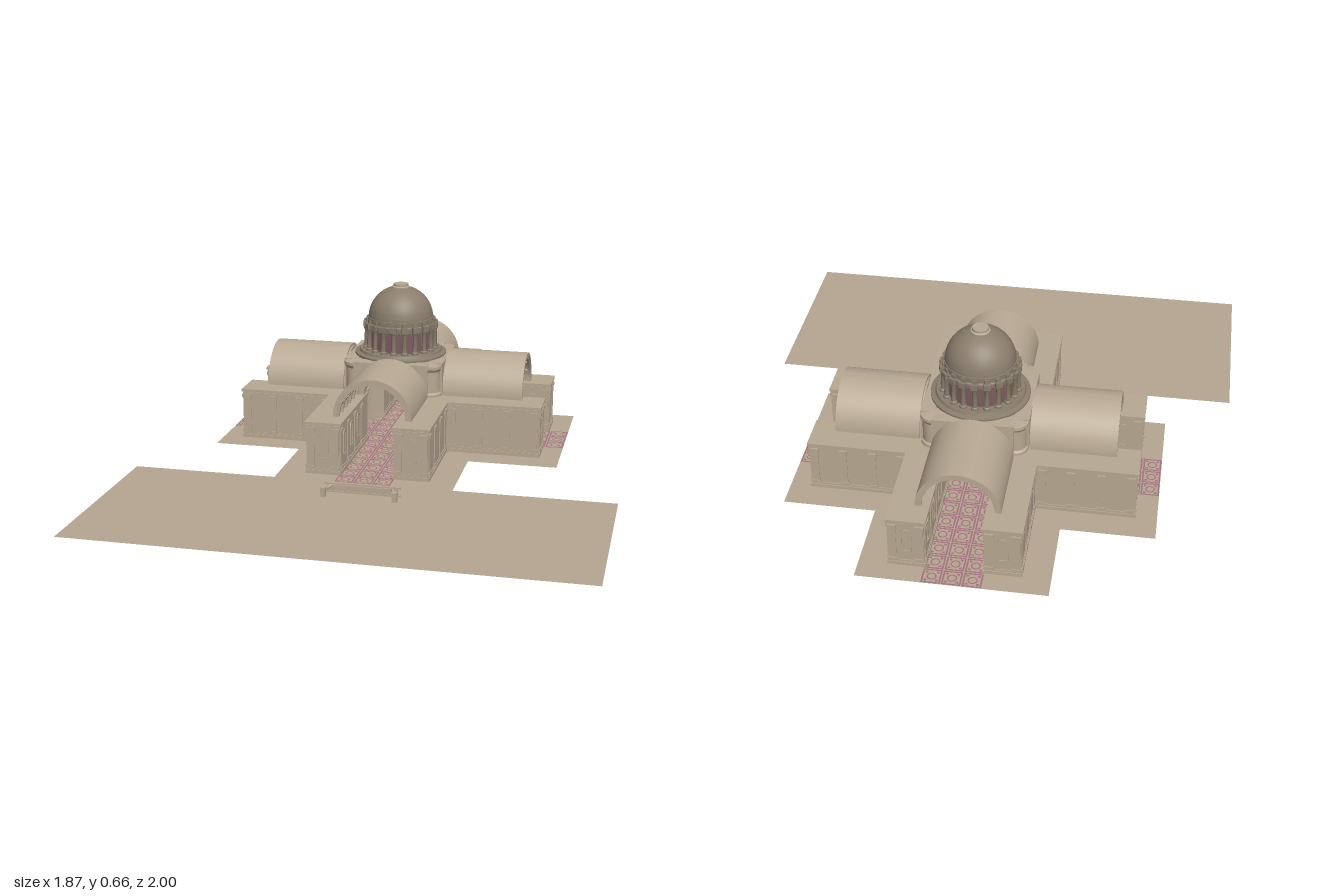
import * as THREE from 'three';
import { mergeGeometries, toCreasedNormals } from 'three/addons/utils/BufferGeometryUtils.js';

const mat = (name, color, side = THREE.FrontSide) => {
  const m = new THREE.MeshStandardMaterial({ color, side });
  m.name = name;
  return m;
};

export function createModel() {
  const stone = mat('pale stone', 0xb8a993);
  const paving = mat('paving stone', 0xb5a691, THREE.DoubleSide);
  const dark = mat('dark stone', 0x8a7e6d, THREE.DoubleSide);
  const pink = mat('pink marble', 0xa4707f);
  const glass = mat('dark rose panels', 0x7c5c5e, THREE.DoubleSide);
  const FLOOR = 0.04, CZ = -0.32;
  const model = new THREE.Group();
  model.name = 'domedCrossPavilion';

  const add = (parent, name, geo, material, x = 0, y = 0, z = 0) => {
    const m = new THREE.Mesh(geo, material);
    m.name = name;
    m.position.set(x, y, z);
    parent.add(m);
    return m;
  };
  const box = (parent, name, w, h, d, x, y, z, material = stone) =>
    add(parent, name, new THREE.BoxGeometry(w, h, d), material, x, y, z);
  const poly = (pts) => new THREE.Shape(pts.map(([x, y]) => new THREE.Vector2(x, y)));
  const extrude = (shape, depth) => toCreasedNormals(
    new THREE.ExtrudeGeometry(shape, { depth, bevelEnabled: false, curveSegments: 24 }), 0.5);
  const lathe = (pts, seg = 48) => toCreasedNormals(
    new THREE.LatheGeometry(pts.map(([r, y]) => new THREE.Vector2(r, y)), seg), 0.5);

  // Half ring for vaults and arches
  const halfRing = (outer, inner) => {
    const s = new THREE.Shape();
    s.absarc(0, 0, outer, 0, Math.PI, false);
    s.absarc(0, 0, inner, Math.PI, 0, true);
    s.closePath();
    return s;
  };
  // Round-headed opening, used for niches and windows
  const archShape = (r, h, S = THREE.Shape) => {
    const s = new S();
    s.moveTo(-r, 0);
    s.lineTo(r, 0);
    s.lineTo(r, h - r);
    s.absarc(0, h - r, r, 0, Math.PI, false);
    s.closePath();
    return s;
  };

  // Ground and raised cross-shaped floor
  const ground = add(model, 'forecourt', new THREE.PlaneGeometry(1.87, 0.75), paving, 0, 0, 0.625);
  ground.rotation.x = -Math.PI / 2;
  const A = 0.34, B = 0.683;
  const cross = poly([[A, A], [A, B], [-A, B], [-A, A], [-B, A], [-B, -A],
    [-A, -A], [-A, -B], [A, -B], [A, -A], [B, -A], [B, A]]);
  const floor = add(model, 'crossFloor', new THREE.ShapeGeometry(cross), paving, 0, FLOOR, CZ);
  floor.rotation.x = -Math.PI / 2;

  // Entrance step face with end posts and curved rails
  box(model, 'stepFace', 0.27, 0.028, 0.008, 0, 0.014, 0.356);
  box(model, 'stepEdge', 0.29, 0.006, 0.012, 0, 0.034, 0.357);
  box(model, 'stepFoot', 0.29, 0.006, 0.012, 0, 0.003, 0.357);
  for (const s of [-1, 1]) {
    box(model, 'stepPost', 0.018, 0.032, 0.018, s * 0.135, 0.016, 0.415);
    box(model, 'stepPostCap', 0.022, 0.006, 0.022, s * 0.135, 0.035, 0.415);
    const rail = new THREE.CatmullRomCurve3([[0.135, 0.028, 0.41], [0.13, 0.022, 0.385], [0.115, 0.028, 0.36]]
      .map(([x, y, z]) => new THREE.Vector3(s * x, y, z)));
    add(model, 'stepRail', new THREE.TubeGeometry(rail, 10, 0.005, 8), stone);
  }

  const building = new THREE.Group();
  building.name = 'building';
  building.position.z = CZ;
  model.add(building);

  // Patterned floor tile: square frame, ring and corner blocks
  const frame = poly([[-0.034, -0.034], [0.034, -0.034], [0.034, 0.034], [-0.034, 0.034]]);
  frame.holes.push(poly([[-0.028, -0.028], [-0.028, 0.028], [0.028, 0.028], [0.028, -0.028]]));
  const tileParts = [new THREE.ShapeGeometry(frame), new THREE.RingGeometry(0.013, 0.018, 12)];
  for (const i of [-1, 1]) for (const j of [-1, 1])
    tileParts.push(new THREE.PlaneGeometry(0.009, 0.009).translate(i * 0.02, j * 0.02, 0));
  const tile = mergeGeometries(tileParts.map((g) => g.toNonIndexed())).rotateX(-Math.PI / 2);
  const tiles = (rows, z0) => {
    const list = [];
    for (let i = -1; i <= 1; i++) for (let j = 0; j < rows; j++)
      list.push(tile.clone().translate(i * 0.072, 0, z0 + j * 0.072));
    return mergeGeometries(list);
  };
  add(building, 'crossingTiles', tiles(3, -0.072), pink, 0, FLOOR + 0.002, 0);

  // L-shaped corner wall grown outward by e
  const cornerWall = (e, y, h) => {
    const a = 0.105 - e, b = 0.233 + e, c = 0.6 + e, k = 0.15;
    const g = extrude(poly([[a, k], [k, a], [c, a], [c, b], [b, b], [b, c], [a, c]]), h);
    return g.rotateX(Math.PI / 2).translate(0, y + h, 0);
  };
  const layers = [[0, 0.04, 0.2], [0.006, 0.04, 0.014], [0.003, 0.054, 0.008],
    [0.003, 0.222, 0.008], [0.007, 0.233, 0.01]].map((p) => cornerWall(...p));

  // Niche surround
  const nicheShape = archShape(0.02, 0.095);
  nicheShape.holes.push(archShape(0.014, 0.089, THREE.Path));
  const nicheGeo = extrude(nicheShape, 0.004);

  const pilaster = (g, w, d, x, z) => {
    box(g, 'pilaster', w, 0.15, d, x, 0.135, z);
    box(g, 'pilasterCapital', w + 0.006, 0.014, d + 0.006, x, 0.213, z);
    box(g, 'pilasterBase', w + 0.006, 0.012, d + 0.006, x, 0.066, z);
  };

  // Crossing wall pierced by a round arch
  const crossingShape = poly([[-0.15, 0], [-0.105, 0], [0.105, 0], [0.15, 0], [0.15, 0.13], [-0.15, 0.13]]);
  crossingShape.holes.length = 0;
  const spandrel = new THREE.Shape();
  spandrel.moveTo(0.15, 0);
  spandrel.lineTo(0.15, 0.13);
  spandrel.lineTo(-0.15, 0.13);
  spandrel.lineTo(-0.15, 0);
  spandrel.lineTo(-0.105, 0);
  spandrel.absarc(0, 0, 0.105, Math.PI, 0, true);
  spandrel.closePath();
  const crossingArch = extrude(spandrel, 0.055);
  const vault = extrude(halfRing(0.152, 0.137), 0.315);
  const vaultRib = extrude(halfRing(0.139, 0.128), 0.01);
  const archBand = extrude(halfRing(0.142, 0.104), 0.012);
  const armTiles = tiles(8, 0.144);

  for (let q = 0; q < 4; q++) {
    const arm = new THREE.Group();
    arm.name = 'arm';
    arm.rotation.y = q * Math.PI / 2;
    building.add(arm);
    layers.forEach((g, i) => add(arm, ['cornerWall', 'wallPlinth', 'plinthMoulding', 'frieze', 'wallCornice'][i], g, stone));
    add(arm, 'floorTiles', armTiles, pink, 0, FLOOR + 0.002, 0);

    // Barrel vault with coffering ribs
    add(arm, 'barrelVault', vault, stone, 0, 0.243, 0.205);
    for (let i = 0; i < 6; i++) add(arm, 'vaultRib', vaultRib, stone, 0, 0.243, 0.207 + i * 0.06);
    for (let i = 1; i < 9; i++) {
      const a = i * Math.PI / 9;
      box(arm, 'cofferRib', 0.01, 0.009, 0.31, 0.134 * Math.cos(a), 0.243 + 0.134 * Math.sin(a), 0.362)
        .rotation.z = a - Math.PI / 2;
    }
    add(arm, 'crossingArch', crossingArch, stone, 0, 0.243, 0.145);
    add(arm, 'archBand', archBand, stone, 0, 0.243, 0.198);

    for (const s of [-1, 1]) {
      // Wall end with pilasters and niche
      pilaster(arm, 0.026, 0.006, s * 0.121, 0.601);
      pilaster(arm, 0.026, 0.006, s * 0.217, 0.601);
      add(arm, 'endNiche', nicheGeo, stone, s * 0.169, 0.105, 0.599);
      // Pilasters along outer and inner faces, niches inside
      for (const z of [0.26, 0.365, 0.475, 0.582]) {
        pilaster(arm, 0.006, 0.024, s * 0.234, z);
        pilaster(arm, 0.006, 0.024, s * 0.104, z);
      }
      for (const z of [0.312, 0.42, 0.528])
        add(arm, 'innerNiche', nicheGeo, stone, s * 0.106, 0.105, z).rotation.y = -s * Math.PI / 2;
    }

    // Rounded corner buttress below the drum
    add(arm, 'cornerButtress', lathe([[0, 0], [0.05, 0], [0.05, 0.01], [0.043, 0.016], [0.043, 0.1],
      [0.05, 0.112], [0.05, 0.124], [0, 0.132]], 24), stone, 0.148, 0.243, 0.148);
  }

  // Drum base mouldings
  add(building, 'drumBase', lathe([[0.128, 0.345], [0.165, 0.345], [0.17, 0.362], [0.185, 0.366], [0.185, 0.38],
    [0.168, 0.384], [0.164, 0.394], [0.128, 0.394]]), dark);
  // Drum with windows and engaged columns
  add(building, 'drumWall', new THREE.CylinderGeometry(0.128, 0.128, 0.13, 48, 1, true), dark, 0, 0.455, 0);
  const windowGeo = new THREE.ShapeGeometry(archShape(0.015, 0.082));
  const column = lathe([[0, 0], [0.014, 0], [0.014, 0.008], [0.0095, 0.012], [0.008, 0.078], [0.013, 0.09], [0, 0.09]], 10);
  const COUNT = 20;
  for (let i = 0; i < COUNT; i++) {
    const bay = new THREE.Group();
    bay.name = 'drumBay';
    bay.rotation.y = i * 2 * Math.PI / COUNT;
    building.add(bay);
    add(bay, 'drumColumn', column, dark, 0, 0.393, 0.139);
    box(bay, 'columnEntablature', 0.026, 0.022, 0.03, 0, 0.494, 0.136, dark);
    box(bay, 'entablatureBlock', 0.018, 0.014, 0.02, 0, 0.512, 0.131, dark);
    const slot = new THREE.Group();
    slot.name = 'windowBay';
    slot.rotation.y = Math.PI / COUNT;
    bay.add(slot);
    add(slot, 'drumWindow', windowGeo, glass, 0, 0.397, 0.1295);
  }
  add(building, 'drumCornice', lathe([[0.126, 0.482], [0.138, 0.482], [0.14, 0.5], [0.134, 0.504], [0.134, 0.524], [0.12, 0.528]]), dark);

  // Dome and cap
  const domeProfile = [];
  for (let i = 0; i <= 20; i++) {
    const a = i / 20 * Math.PI / 2;
    domeProfile.push([0.131 * Math.cos(a) + 1e-5, 0.52 + 0.128 * Math.sin(a)]);
  }
  add(building, 'dome', lathe(domeProfile), dark);
  add(building, 'domeCap', lathe([[0.036, 0.64], [0.036, 0.646], [0.03, 0.649], [0.03, 0.658], [0, 0.658]], 24), stone);
  return model;
}
